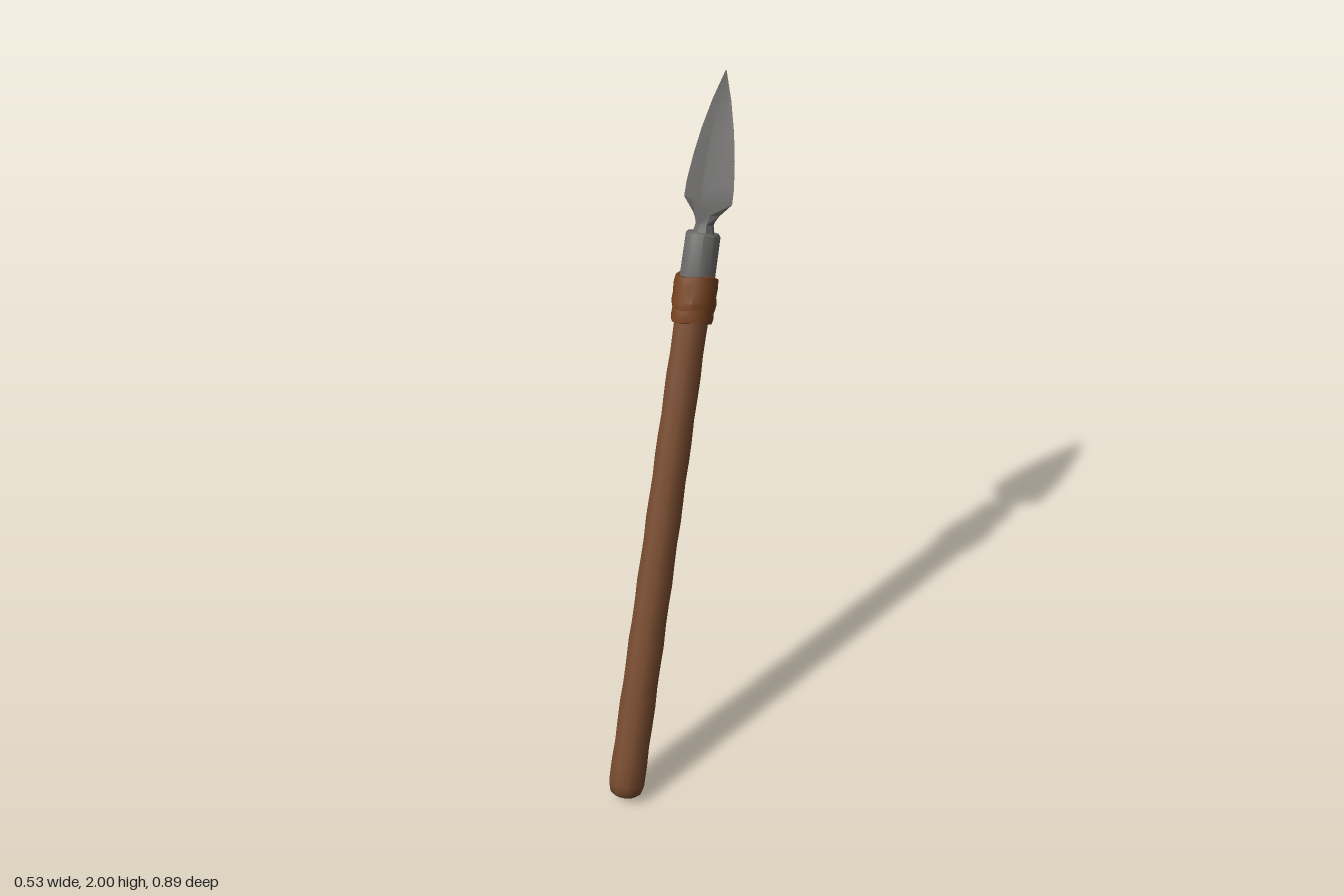
import * as THREE from 'three';
import { toCreasedNormals } from 'three/addons/utils/BufferGeometryUtils.js';

const mat = (name, color) => {
  const m = new THREE.MeshStandardMaterial({ color });
  m.name = name;
  return m;
};

// Turned part from [radius, height] pairs; wobble(angle, height) returns [radius scale, height shift]
function turned(name, profile, sides, material, crease, wobble) {
  const geo = new THREE.LatheGeometry(profile.map(([r, h]) => new THREE.Vector2(r, h)), sides);
  const p = geo.attributes.position;
  if (wobble) {
    for (let i = 0; i < p.count; i++) {
      const [s, dy] = wobble(Math.atan2(p.getZ(i), p.getX(i)), p.getY(i));
      p.setXYZ(i, p.getX(i) * s, p.getY(i) + dy, p.getZ(i) * s);
    }
  }
  const mesh = new THREE.Mesh(toCreasedNormals(geo, crease), material);
  mesh.name = name;
  return mesh;
}

// Blade from eight-sided sections: [height, half width, half thickness, diagonal fullness]
function bladeGeometry() {
  const sections = [
    [1.715, 0.036, 0.036, 0.71],
    [1.755, 0.027, 0.027, 0.71],
    [1.785, 0.046, 0.032, 0.6],
    [1.825, 0.085, 0.04, 0.5],
    [1.87, 0.084, 0.039, 0.48],
    [1.95, 0.073, 0.036, 0.48],
    [2.03, 0.057, 0.03, 0.48],
    [2.12, 0.032, 0.02, 0.5],
    [2.205, 0.001, 0.001, 0.5],
  ];
  const pos = [];
  const index = [];
  for (const [h, w, t, f] of sections) {
    for (let k = 0; k < 8; k++) {
      const a = (k * Math.PI) / 4;
      const s = k % 2 ? f / Math.SQRT1_2 : 1;
      pos.push(w * s * Math.cos(a), h, t * s * Math.sin(a));
    }
  }
  for (let j = 0; j < sections.length - 1; j++) {
    for (let k = 0; k < 8; k++) {
      const a = j * 8 + k;
      const b = j * 8 + ((k + 1) % 8);
      index.push(a, a + 8, b, b, a + 8, b + 8);
    }
  }
  const geo = new THREE.BufferGeometry();
  geo.setAttribute('position', new THREE.Float32BufferAttribute(pos, 3));
  geo.setIndex(index);
  return toCreasedNormals(geo, 0.35);
}

export function createModel() {
  const wood = mat('shaft wood', 0x74482c);
  const leather = mat('binding leather', 0x74421f);
  const metal = mat('dull steel', 0x676665);

  const spear = new THREE.Group();
  spear.name = 'spear';

  // Shaft with a rounded butt and a gently uneven, hand-carved surface
  const shaft = [[0, 0], [0.032, 0], [0.048, 0.012], [0.056, 0.04]];
  for (let i = 1; i <= 24; i++) shaft.push([0.056 - 0.005 * (i / 24), 0.04 + (1.52 * i) / 24]);
  spear.add(turned('shaft', shaft, 10, wood, 0.9, (a, h) => [
    h < 0.06 ? 1 : 1 + 0.025 * Math.sin(h * 31 + 2 * a), 0,
  ]));

  // Leather binding: a narrow lower turn and a wide upper turn
  const ragged = (a, h) => [1 + 0.02 * Math.sin(3 * a + h * 40), 0.006 * Math.sin(2 * a + 1)];
  spear.add(turned('lowerBinding',
    [[0.045, 1.465], [0.06, 1.468], [0.063, 1.485], [0.061, 1.51], [0.045, 1.515]],
    12, leather, 0.7, ragged));
  spear.add(turned('upperBinding',
    [[0.045, 1.502], [0.063, 1.506], [0.067, 1.525], [0.064, 1.55], [0.066, 1.575], [0.063, 1.602], [0.045, 1.606]],
    12, leather, 0.7, ragged));

  // Metal socket with a stepped-in top
  spear.add(turned('socket',
    [[0.05, 1.56], [0.054, 1.6], [0.053, 1.725], [0.046, 1.733], [0.036, 1.722], [0, 1.722]],
    10, metal, 0.7));

  // Leaf-shaped blade with a central ridge
  const blade = new THREE.Mesh(bladeGeometry(), metal);
  blade.name = 'blade';
  spear.add(blade);

  // Lean the whole spear: y runs along the shaft, x across the blade
  const along = new THREE.Vector3(-0.211, 0.899, -0.385).normalize();
  const across = new THREE.Vector3(0.95, 0.2, -0.23);
  across.addScaledVector(along, -across.dot(along)).normalize();
  const out = new THREE.Vector3().crossVectors(across, along);
  spear.quaternion.setFromRotationMatrix(new THREE.Matrix4().makeBasis(across, along, out));
  spear.position.set(0.21, 0.018, 0.402);

  const model = new THREE.Group();
  model.name = 'leaningSpear';
  model.add(spear);
  return model;
}
